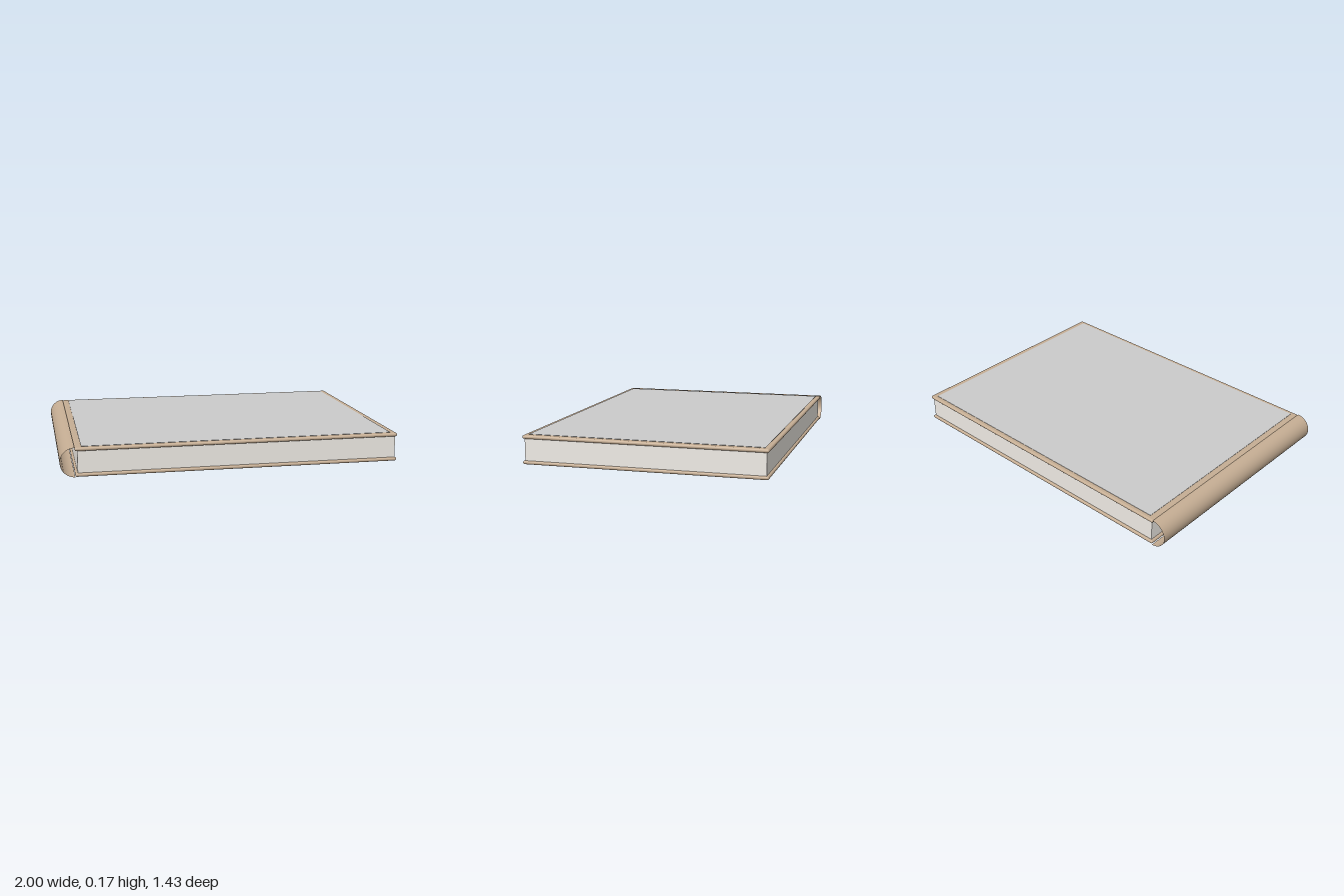
import * as THREE from 'three';
import { RoundedBoxGeometry } from 'three/addons/geometries/RoundedBoxGeometry.js';

const HEIGHT = 0.17;    // overall thickness of the closed book
const BOARD = 0.021;    // thickness of one cover board
const DEPTH = 1.434;    // z size of boards and spine
const HINGE = -0.914;   // x where the spine meets the boards

export function createModel() {
  const book = new THREE.Group();
  book.name = 'book';

  const leather = new THREE.MeshStandardMaterial({ color: 0xc6ae94 });
  const spineLeather = new THREE.MeshStandardMaterial({ color: 0xc6ae94, side: THREE.DoubleSide });
  const paper = new THREE.MeshStandardMaterial({ color: 0xf0ece6 });
  const grey = new THREE.MeshStandardMaterial({ color: 0xcccccc });

  function add(name, geometry, material, x, y, z = 0) {
    const mesh = new THREE.Mesh(geometry, material);
    mesh.name = name;
    mesh.position.set(x, y, z);
    book.add(mesh);
    return mesh;
  }

  // Cover boards with rounded edges
  const boardWidth = 1 - HINGE;
  const boardX = (1 + HINGE) / 2;
  const board = new RoundedBoxGeometry(boardWidth, BOARD, DEPTH, 4, BOARD * 0.48);
  add('backCover', board, leather, boardX, BOARD / 2);
  add('frontCover', board, leather, boardX, HEIGHT - BOARD / 2);

  // Page block, set in slightly from the board edges
  const pageHeight = HEIGHT - 2 * BOARD + 0.004;
  add('pages', new THREE.BoxGeometry(1.89, pageHeight, 1.408), paper, 0.045, HEIGHT / 2);

  // Thin panel on the front cover
  add('coverPanel', new THREE.BoxGeometry(1.84, 0.004, 1.38), grey, 0.043, HEIGHT);

  // Open half-round spine, bulging towards -x
  const radius = HEIGHT / 2;
  const spine = new THREE.CylinderGeometry(radius, radius, DEPTH, 32, 1, true, Math.PI, Math.PI);
  spine.rotateX(Math.PI / 2);
  add('spine', spine, spineLeather, HINGE - 0.001, radius);

  return book;
}
